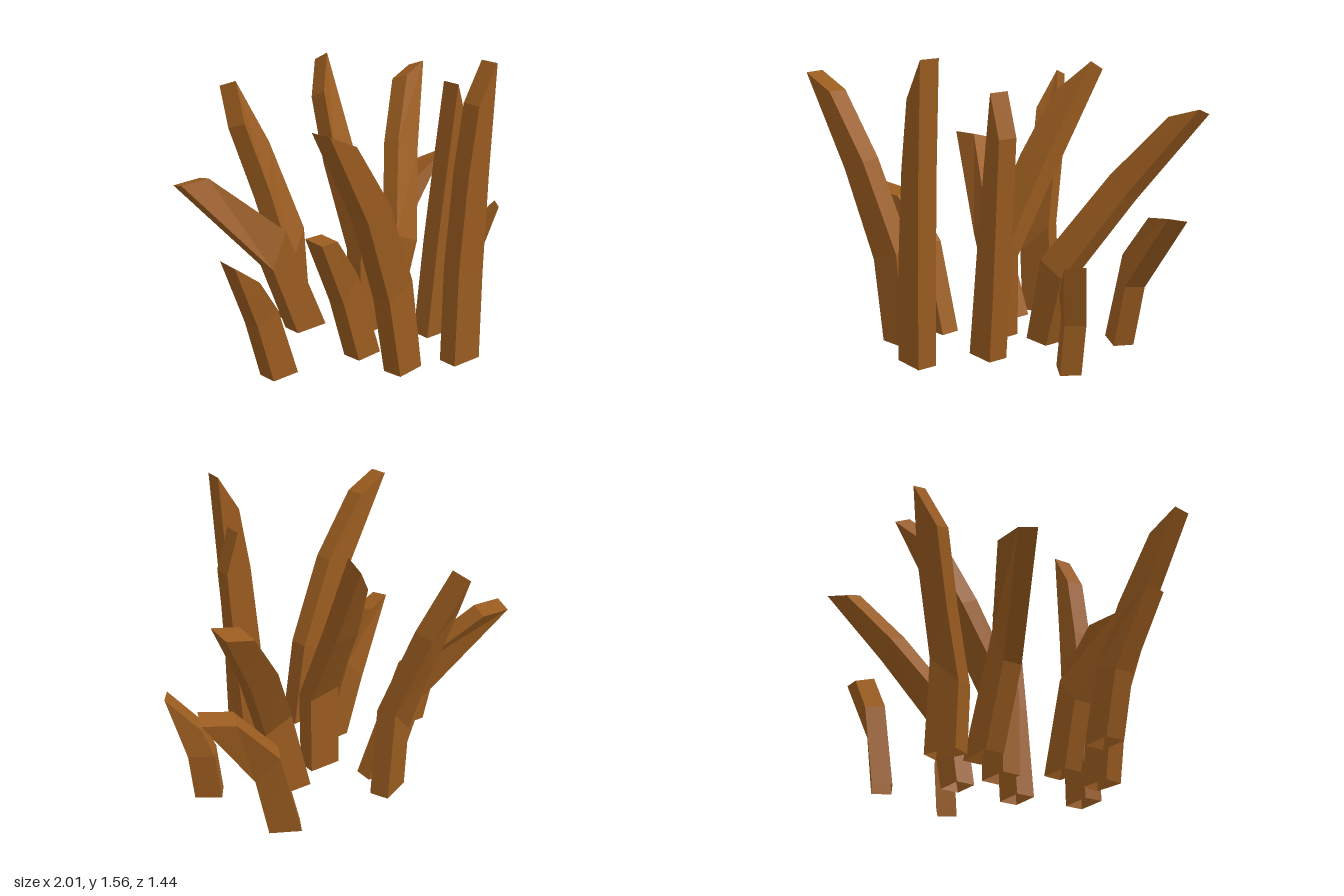
import * as THREE from 'three';

const UP = new THREE.Vector3(0, 1, 0);
const THICKNESS = 0.107;

// Edge line from the ground to the tip: x bends along a power of the height,
// z stays upright as far as the first knee and then leans evenly
function edgeLine(base, tip, steps, bend) {
  return steps.map((t) => new THREE.Vector3(
    THREE.MathUtils.lerp(base[0], tip[0], t ** bend),
    tip[1] * t,
    THREE.MathUtils.lerp(base[1], tip[2], Math.max(0, (t - steps[1]) / (1 - steps[1]))),
  ));
}

// Rectangular blade between an outer and an inner edge, cut slantwise at the tip, open at the ground
function bladeGeometry(outerBase, innerBase, outerTip, innerTip, bend) {
  const tall = outerTip[1] > 1;
  const outer = edgeLine(outerBase, outerTip, tall ? [0, 0.31, 0.65, 1] : [0, 0.45, 1], bend);
  const inner = edgeLine(innerBase, innerTip, tall ? [0, 0.38, 0.74, 1] : [0, 0.66, 1], bend * 1.25);
  const across = inner[0].clone().sub(outer[0]).cross(UP);

  const rings = outer.map((o, i) => {
    // thickness stays square to the direction of growth
    const growth = i > 0 ? o.clone().sub(outer[i - 1]).normalize() : UP;
    const half = across.clone().projectOnPlane(growth).setLength(THICKNESS / 2);
    return [
      o.clone().add(half), inner[i].clone().add(half),
      inner[i].clone().sub(half), o.clone().sub(half),
    ];
  });

  const points = [];
  const quad = (a, b, c, d) => points.push(a, b, c, a, c, d);
  for (let i = 0; i < rings.length - 1; i++) {
    for (let k = 0; k < 4; k++) {
      const n = (k + 1) % 4;
      quad(rings[i][k], rings[i][n], rings[i + 1][n], rings[i + 1][k]);
    }
  }
  quad(...rings[rings.length - 1]);

  const geometry = new THREE.BufferGeometry().setFromPoints(points);
  geometry.computeVertexNormals();
  return geometry;
}

export function createModel() {
  const brown = new THREE.MeshStandardMaterial({ color: 0x995b1f, side: THREE.DoubleSide });
  brown.name = 'dry brown';
  const group = new THREE.Group();
  group.name = 'grassTuft';

  // outer base (x, z), inner base (x, z), outer tip, inner tip, bend
  const addBlade = (name, ...shape) => {
    const mesh = new THREE.Mesh(bladeGeometry(...shape), brown);
    mesh.name = name;
    group.add(mesh);
  };

  // front blades
  addBlade('frontTallBlade', [0.26, 0.655], [0.08, 0.655], [0.32, 1.56, 0.66], [0.2, 1.36, 0.66], 1.8);
  addBlade('frontRightBlade', [-0.22, 0.56], [-0.05, 0.535], [-0.765, 1.38, 0.665], [-0.58, 1.295, 0.635], 1.65);

  // middle blades
  addBlade('middleTallBlade', [0.145, 0.04], [-0.04, 0.05], [0.2, 1.42, -0.5], [0.06, 1.25, -0.36], 2.6);

  // blades leaning to the left
  addBlade('leftUprightBlade', [0.39, 0.31], [0.22, 0.31], [0.475, 1.16, 0.315], [0.405, 1.38, 0.315], 0.9);
  addBlade('leftLongBlade', [0.375, -0.07], [0.22, -0.065], [0.96, 1.27, -0.53], [0.79, 1.215, -0.49], 1.35);
  addBlade('leftBackBlade', [0.62, -0.345], [0.47, -0.42], [0.985, 0.755, -0.345], [0.81, 0.72, -0.38], 2);
  addBlade('leftShortBlade', [0.775, 0.153], [0.655, 0.075], [0.883, 0.59, 0.228], [0.73, 0.41, 0.125], 1.6);

  // blades leaning to the right
  addBlade('rightShortBlade', [-0.73, 0.18], [-0.57, 0.175], [-1, 0.7, 0.25], [-0.82, 0.57, 0.2], 1.4);
  addBlade('rightMiddleBlade', [-0.25, 0.28], [-0.09, 0.265], [-0.585, 0.75, 0.385], [-0.43, 0.72, 0.32], 1.5);
  addBlade('rightLongBlade', [-0.27, -0.2], [-0.07, -0.205], [-0.85, 0.91, -0.385], [-0.68, 0.915, -0.39], 1.6);

  // back blade
  addBlade('backBlade', [-0.19, -0.34], [-0.025, -0.42], [-0.345, 1.1, -0.56], [-0.31, 1.31, -0.68], 1.7);

  return group;
}
